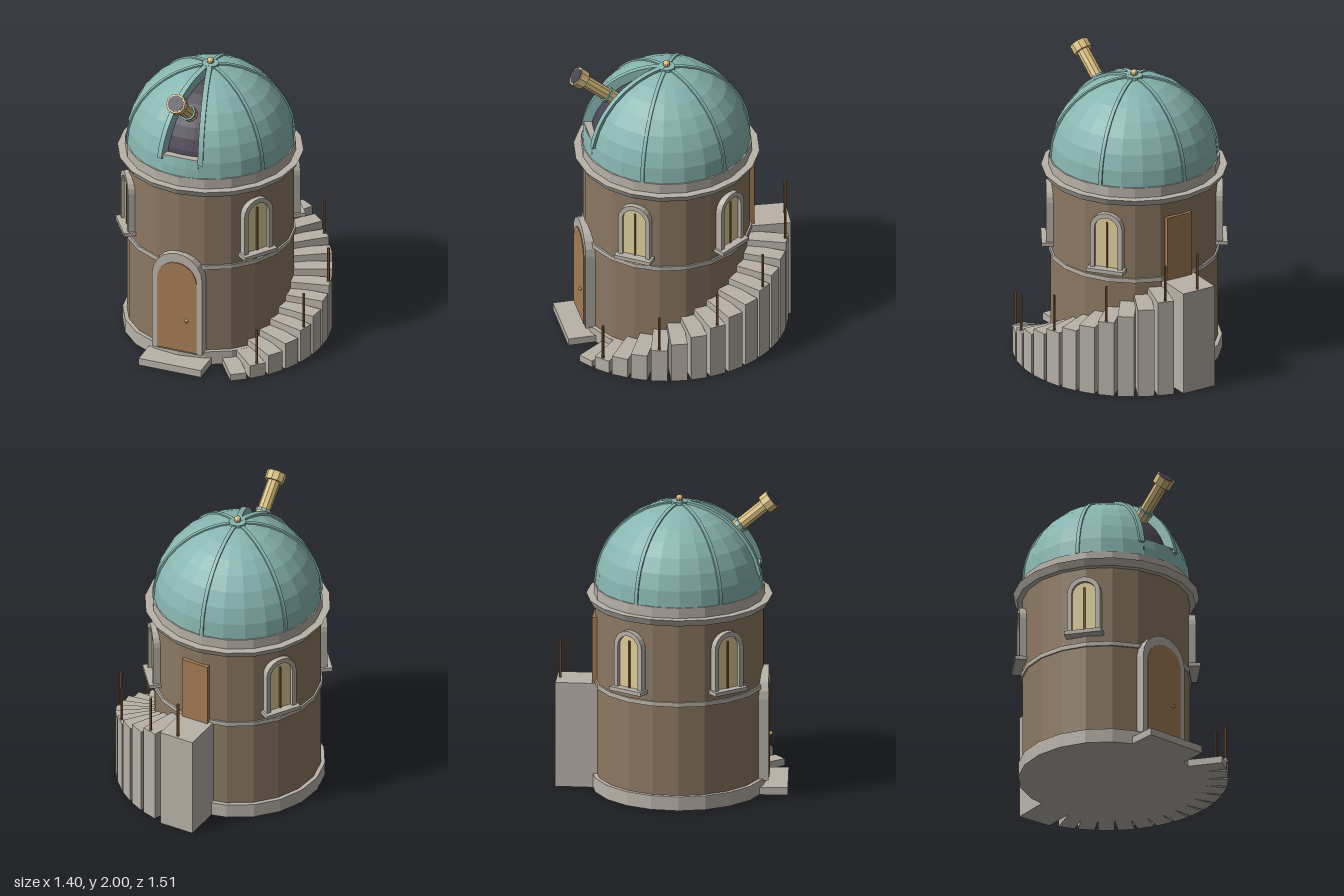
import * as THREE from 'three';

const mat = (name, color) => {
  const m = new THREE.MeshStandardMaterial({ color, flatShading: true });
  m.name = name;
  return m;
};
const rad = THREE.MathUtils.degToRad;

export function createModel() {
  const stone = mat('pale stone', 0xb8b2a8);
  const brick = mat('brown wall', 0x8c7862);
  const copper = mat('green copper', 0x88b6b1);
  const wood = mat('door wood', 0xa47c54);
  const railWood = mat('post wood', 0x8c5e38);
  const glass = mat('lit glass', 0xe0d09c);
  const brass = mat('brass', 0xdabf80);
  const dark = mat('dark interior', 0x484452);

  const model = new THREE.Group();
  model.name = 'observatory';
  const tower = new THREE.Group();
  tower.name = 'tower';
  tower.position.set(-0.092, 0, 0.046);
  model.add(tower);

  const add = (parent, name, geo, material, x = 0, y = 0, z = 0) => {
    const m = new THREE.Mesh(geo, material);
    m.name = name;
    m.position.set(x, y, z);
    parent.add(m);
    return m;
  };
  // Group turned so that its local +z points outward at an angle from the front
  const spoke = (name, deg) => {
    const g = new THREE.Group();
    g.name = name;
    g.rotation.y = rad(deg);
    tower.add(g);
    return g;
  };
  const box = (w, h, d) => new THREE.BoxGeometry(w, h, d);
  const drum = (name, rTop, rBottom, y0, y1, material, sides = 20) =>
    add(tower, name, new THREE.CylinderGeometry(rTop, rBottom, y1 - y0, sides), material, 0, (y0 + y1) / 2, 0);

  // Round-headed outline
  const arch = (Type, half, y0, top) => {
    const s = new Type();
    s.moveTo(-half, y0);
    s.lineTo(half, y0);
    s.lineTo(half, top - half);
    s.absarc(0, top - half, half, 0, Math.PI, false);
    s.lineTo(-half, y0);
    return s;
  };
  const extrude = (shape, depth, curveSegments = 5) =>
    new THREE.ExtrudeGeometry(shape, { depth, bevelEnabled: false, curveSegments });

  // Tower body
  drum('plinth', 0.572, 0.572, 0, 0.095, stone);
  drum('wall', 0.545, 0.545, 0.095, 1.27, brick);
  drum('stringCourse', 0.556, 0.556, 0.7, 0.73, stone);
  drum('cornice', 0.606, 0.582, 1.26, 1.305, stone);
  drum('domeRing', 0.556, 0.556, 1.305, 1.375, stone);

  // Dome shell with a slit at the front
  const R = 0.547, baseY = 1.375, slit = rad(13.5), sillAngle = Math.acos(0.125 / R);
  add(tower, 'domeShell', new THREE.SphereGeometry(R, 22, 8, Math.PI / 2 + slit, Math.PI * 2 - slit * 2, 0, Math.PI / 2),
    copper, 0, baseY, 0);
  add(tower, 'domeBelowSlit', new THREE.SphereGeometry(R, 2, 1, Math.PI / 2 - slit, slit * 2, sillAngle, Math.PI / 2 - sillAngle),
    copper, 0, baseY, 0);
  add(tower, 'slitInterior', new THREE.SphereGeometry(0.5, 4, 10, Math.PI / 2 - slit * 1.1, slit * 2.2, 0, Math.PI / 2),
    dark, 0, baseY, 0);
  add(tower, 'slitSill', box(0.25, 0.012, 0.05), stone, 0, 1.494, 0.5);

  // Curved ribs
  const rib = (name, deg, inner, outer, from, width) => {
    const s = new THREE.Shape();
    s.absarc(0, 0, outer, from, Math.PI / 2, false);
    s.absarc(0, 0, inner, Math.PI / 2, from, true);
    const geo = extrude(s, width, 12);
    geo.translate(0, 0, -width / 2);
    geo.rotateY(-Math.PI / 2);
    add(spoke(name, deg), name + 'Arc', geo, copper, 0, baseY, 0);
  };
  for (const deg of [60, 120, 180, 240, 300]) rib('domeRib', deg, 0.52, 0.555, 0, 0.024);
  for (const deg of [-15, 15]) rib('slitRib', deg, 0.49, 0.562, rad(10), 0.034);
  drum('domeCap', 0.056, 0.056, 1.912, 1.935, copper, 12);
  add(tower, 'finial', new THREE.SphereGeometry(0.024, 10, 8), brass, 0, 1.95, 0);

  // Telescope, measured back from its open end
  const scope = new THREE.Group();
  scope.name = 'telescope';
  scope.position.set(0, 1.947, 0.604);
  scope.rotation.x = rad(50);
  tower.add(scope);
  const tube = (name, r, y0, y1, material) =>
    add(scope, name, new THREE.CylinderGeometry(r, r, y1 - y0, 10), material, 0, (y0 + y1) / 2, 0);
  tube('lensHood', 0.066, -0.062, 0, brass);
  tube('lens', 0.055, -0.004, 0.003, dark);
  tube('upperTube', 0.044, -0.28, -0.05, brass);
  tube('tubeCollar', 0.055, -0.278, -0.26, copper);
  tube('lowerTube', 0.05, -0.36, -0.27, brass);
  tube('lowerCollar', 0.058, -0.375, -0.355, brass);

  // Arched windows
  for (const deg of [55, 125, -55, -125]) {
    const w = spoke('window', deg);
    const frame = arch(THREE.Shape, 0.11, 0.79, 1.19);
    frame.holes.push(arch(THREE.Path, 0.08, 0.8, 1.157));
    add(w, 'windowFrame', extrude(frame, 0.06), stone, 0, 0, 0.515);
    add(w, 'windowPane', extrude(arch(THREE.Shape, 0.082, 0.795, 1.158), 0.04), glass, 0, 0, 0.512);
    add(w, 'windowBar', box(0.012, 0.32, 0.012), railWood, 0, 0.96, 0.555);
    add(w, 'windowSill', box(0.25, 0.026, 0.1), stone, 0, 0.788, 0.555);
  }

  // Front door
  const surround = arch(THREE.Shape, 0.175, 0.085, 0.812);
  surround.holes.push(arch(THREE.Path, 0.136, 0.086, 0.745));
  add(tower, 'doorSurround', extrude(surround, 0.07), stone, 0, 0, 0.511);
  add(tower, 'frontDoor', extrude(arch(THREE.Shape, 0.138, 0.095, 0.747), 0.07), wood, 0, 0, 0.517);
  add(tower, 'doorKnob', new THREE.SphereGeometry(0.013, 8, 6), brass, 0.07, 0.33, 0.593);
  add(tower, 'doorStep', box(0.435, 0.05, 0.25), stone, 0, 0.025, 0.582);

  // Outside stair winding up to the back landing, with a post on every third step
  const post = (parent, y) =>
    add(parent, 'railPost', new THREE.CylinderGeometry(0.009, 0.009, 0.25, 6), railWood, 0, y + 0.125, 0.778);
  for (let i = 1; i <= 14; i++) {
    const h = i * 0.0472;
    const s = spoke('stairStep', 35.2 + (i - 1) * 9.5);
    add(s, 'stepBlock', box(0.108, h, 0.3), stone, 0, h / 2, 0.642);
    if (i % 3 === 2) post(s, h);
  }
  const landing = spoke('landing', 175.4);
  add(landing, 'landingBlock', box(0.24, 0.708, 0.33), stone, 0, 0.354, 0.635);
  add(landing, 'backDoor', box(0.19, 0.442, 0.05), wood, 0, 0.929, 0.537);
  post(landing, 0.708);

  return model;
}
